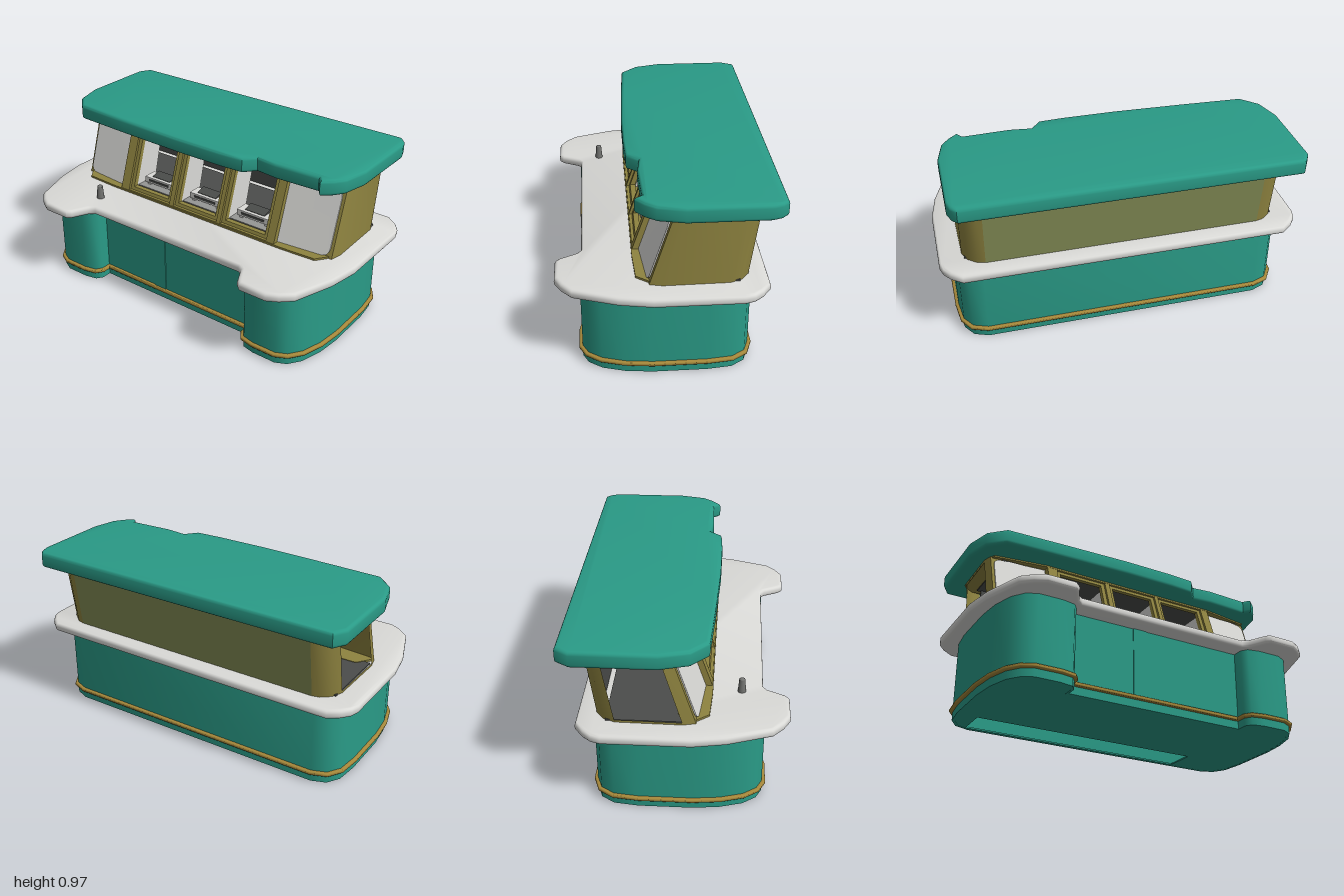
import * as THREE from 'three';
import { toCreasedNormals } from 'three/addons/utils/BufferGeometryUtils.js';

const paint = (name, color, side = THREE.FrontSide) => {
  const m = new THREE.MeshStandardMaterial({ color, side });
  m.name = name;
  return m;
};

export function createModel() {
  const root = new THREE.Group();
  root.name = 'kiosk';
  const teal = paint('teal', 0x2a9b87, THREE.DoubleSide);
  const olive = paint('olive', 0x8f8440, THREE.DoubleSide);
  const backOlive = paint('greenish olive', 0x858e56, THREE.DoubleSide);
  const gold = paint('gold trim', 0xa5873a, THREE.DoubleSide);
  const white = paint('off white', 0xdadad7, THREE.DoubleSide);
  const dark = paint('dark grey', 0x4b4d4b);
  const grey = paint('mid grey', 0x969795);
  const postGrey = paint('post grey', 0x727370);

  const add = (name, geometry, material, parent = root) => {
    const mesh = new THREE.Mesh(geometry, material);
    mesh.name = name;
    parent.add(mesh);
    return mesh;
  };
  const box = (name, w, h, d, x, y, z, material, parent) => {
    const mesh = add(name, new THREE.BoxGeometry(w, h, d), material, parent);
    mesh.position.set(x, y, z);
    return mesh;
  };
  // full outline from its +x half, listed back to front
  const mirror = half => [...half, ...half.map(([x, z]) => [-x, z]).reverse()];
  const rect = (P, x0, x1, y0, y1) => {
    const p = new P();
    p.moveTo(x0, y0); p.lineTo(x1, y0); p.lineTo(x1, y1); p.lineTo(x0, y1); p.closePath();
    return p;
  };
  const toPoints = plan => plan.map(([x, z]) => new THREE.Vector2(x, -z));
  // horizontal slab from a plan outline; grow pushes the rim outwards
  const slab = (plan, y0, y1, bevel, grow = 0, hole = null) => {
    const shape = new THREE.Shape(toPoints(plan));
    if (hole) shape.holes.push(hole);
    const g = new THREE.ExtrudeGeometry(shape, {
      depth: y1 - y0 - 2 * bevel, bevelEnabled: bevel > 0, bevelThickness: bevel,
      bevelSize: bevel, bevelOffset: grow - bevel, bevelSegments: 4,
    });
    g.rotateX(-Math.PI / 2);
    g.translate(0, y0 + bevel, 0);
    return toCreasedNormals(g, 0.75);
  };

  // the cabin leans backwards, the front more than the back
  const Y0 = 0.505, Y1 = 0.89;
  const lean = (z, y) => z - ((y - Y0) / 0.38) * (0.05 + 0.08 * (z + 0.42) / 0.59);
  const leanGeometry = (g, offset = () => 0) => {
    const p = g.attributes.position;
    for (let i = 0; i < p.count; i++) {
      p.setZ(i, lean(p.getZ(i) + offset(p.getX(i)), p.getY(i)));
    }
    g.computeVertexNormals();
    return toCreasedNormals(g, 0.6);
  };
  const plate = (shape, depth, z, offset) => {
    const g = new THREE.ExtrudeGeometry(shape, { depth, bevelEnabled: false, curveSegments: 6 });
    g.translate(0, 0, z);
    return leanGeometry(g, offset);
  };
  // upright strip of wall along plan points running from the left side round the back
  const wall = (plan, y0 = Y0, y1 = Y1) => {
    const pos = [], index = [];
    plan.forEach(([x, z], i) => {
      pos.push(x, y0, lean(z, y0), x, y1, lean(z, y1));
      if (i) {
        const a = 2 * i - 2;
        index.push(a, a + 2, a + 1, a + 1, a + 2, a + 3);
      }
    });
    const g = new THREE.BufferGeometry();
    g.setAttribute('position', new THREE.Float32BufferAttribute(pos, 3));
    g.setIndex(index);
    g.computeVertexNormals();
    return toCreasedNormals(g, 0.75);
  };

  // hollow base with two front wings and an access hole in its floor
  const baseHalf = [[0.78, -0.43], [0.86, -0.4], [0.905, -0.33], [0.92, -0.2], [0.92, 0.08],
    [0.905, 0.22], [0.87, 0.34], [0.82, 0.41], [0.76, 0.44], [0.62, 0.44], [0.55, 0.425],
    [0.525, 0.39], [0.525, 0.33]];
  const basePlan = mirror(baseHalf);
  const insidePlan = mirror(baseHalf.map(([x, z]) =>
    [x < 0.56 ? x + 0.012 : x - 0.012, z - Math.sign(z) * 0.012]));
  const inside = () => new THREE.Path(toPoints(insidePlan));
  add('baseWall', slab(basePlan, 0, 0.465, 0, 0, inside()), teal);
  add('baseFloor', slab(insidePlan, 0.001, 0.01, 0, 0, rect(THREE.Path, -0.8, 0.55, 0.22, 0.405)), teal);
  add('baseTrim', slab(basePlan, 0.045, 0.067, 0.008, 0.018, inside()), gold);
  box('frontPost', 0.08, 0.39, 0.008, -0.11, 0.26, 0.331, teal);

  // counter
  const counterPlan = mirror([[0.89, -0.51], [0.95, -0.465], [0.985, -0.42], [1, -0.37], [1, 0.08],
    [0.97, 0.25], [0.89, 0.48], [0.83, 0.535], [0.77, 0.568], [0.61, 0.568], [0.585, 0.545],
    [0.54, 0.455], [0.51, 0.432]]);
  add('counter', slab(counterPlan, 0.455, 0.507, 0.02), white);
  const post = add('counterPost', new THREE.CylinderGeometry(0.016, 0.022, 0.075, 16), postGrey);
  post.position.set(-0.57, 0.542, 0.32);
  const cap = add('counterPostCap', new THREE.SphereGeometry(0.016, 16, 8), postGrey);
  cap.scale.y = 0.5;
  cap.position.set(-0.57, 0.58, 0.32);

  // cabin walls, with a tall opening on the right side
  const side = [[0.545, 0.126], [0.865, 0.096], [0.88, 0.03], [0.875, -0.31], [0.85, -0.37], [0.8, -0.41], [0.76, -0.42]];
  const right = side.map(([x, z]) => [-x, z]).reverse();
  add('leftWall', wall(side), olive);
  add('backWall', wall([side[6], right[0]]), backOlive);
  add('backCorner', wall(right.slice(0, 4)), olive);
  add('rightFrontCorner', wall(right.slice(4)), olive);
  add('sideSill', wall(right.slice(3, 5), Y0, 0.52), olive);
  add('sideHeader', wall(right.slice(3, 5), 0.865, Y1), olive);

  // sloping front with three framed windows
  const centres = [-0.33, 0.01, 0.345];
  const front = rect(THREE.Shape, -0.545, 0.55, Y0, Y1);
  for (const c of centres) front.holes.push(rect(THREE.Path, c - 0.155, c + 0.155, 0.522, 0.872));
  add('frontWall', plate(front, 0.05, 0.12), olive);
  for (const c of centres) {
    const frame = rect(THREE.Shape, c - 0.155, c + 0.155, 0.522, 0.872);
    frame.holes.push(rect(THREE.Path, c - 0.132, c + 0.132, 0.54, 0.852));
    add('windowFrame', plate(frame, 0.03, 0.124), olive);
  }
  const sill = [[0.8, 0], [0.86, 0.08], [0.8, 0.16], [0.6, 0.17]];
  add('frontSill', slab(mirror(sill), 0.5, 0.518, 0), olive);
  const cornice = [[0.84, -0.45], [0.875, -0.4], [0.88, -0.08], [0.85, 0], [0.55, 0.045]];
  add('cornice', slab(mirror(cornice), 0.874, 0.888, 0), olive);

  // rounded white corner panels, swept back towards the sides
  for (const s of [-1, 1]) {
    const x0 = 0.55, x1 = 0.85, y0 = 0.52, y1 = 0.865, r = 0.045;
    const p = new THREE.Shape();
    p.moveTo(s * x0, y0);
    p.lineTo(s * (x1 - r), y0);
    p.quadraticCurveTo(s * x1, y0, s * x1, y0 + r);
    p.lineTo(s * x1, y1 - r);
    p.quadraticCurveTo(s * x1, y1, s * (x1 - r), y1);
    p.lineTo(s * x0, y1);
    p.closePath();
    add('cornerPanel', plate(p, 0.008, 0.129, x => -(Math.abs(x) - 0.545) * 0.094), white);
  }

  // dark interior with a booth and service console behind each window
  box('innerBackWall', 1.56, 0.36, 0.01, 0, 0.695, -0.39, dark);
  box('innerCeiling', 1.6, 0.008, 0.4, 0, 0.866, -0.2, dark);
  box('innerFloor', 1.73, 0.008, 0.4, 0, 0.511, -0.16, dark);
  centres.forEach((c, i) => {
    for (const s of [-1, 1]) {
      const cheek = new THREE.BoxGeometry(0.008, 0.3, 0.17);
      cheek.translate(c + s * 0.14, 0.675, 0.035);
      add('boothCheek', leanGeometry(cheek), white);
    }
    const desk = new THREE.Group();
    desk.name = 'console';
    desk.position.set(c, 0, 0.03);
    root.add(desk);
    box('desk', 0.27, 0.025, 0.14, 0, 0.525, 0, grey, desk);
    box('tray', 0.21, 0.035, 0.08, 0, 0.572, 0, white, desk);
    box('traySlot', 0.15, 0.014, 0.006, 0, 0.572, 0.04, dark, desk);
    for (const s of [-1, 1]) box('trayFoot', 0.02, 0.03, 0.06, s * 0.085, 0.545, 0, white, desk);
    box('keypad', 0.13, 0.012, 0.06, 0, 0.594, -0.01, dark, desk).rotation.x = 0.25;
    if (i !== 1) box('monitor', 0.07, 0.12, 0.05, 0.095, 0.6, -0.14, grey, desk);
  });

  // roof with a notch in its front edge
  const roofPlan = [[-0.93, -0.572], [0.885, -0.572], [0.915, -0.54], [0.932, -0.49], [0.932, -0.08],
    [0.9, 0.06], [0.86, 0.115], [0.805, 0.162], [0.775, 0.122], [0.52, 0.132], [0.4, 0.118],
    [0.345, 0.182], [0.2, 0.19], [-0.1, 0.19], [-0.5, 0.175], [-0.84, 0.158], [-0.93, 0.07],
    [-0.973, -0.08], [-0.973, -0.5]];
  add('roof', slab(roofPlan, 0.883, 0.973, 0.02), teal);

  return root;
}
